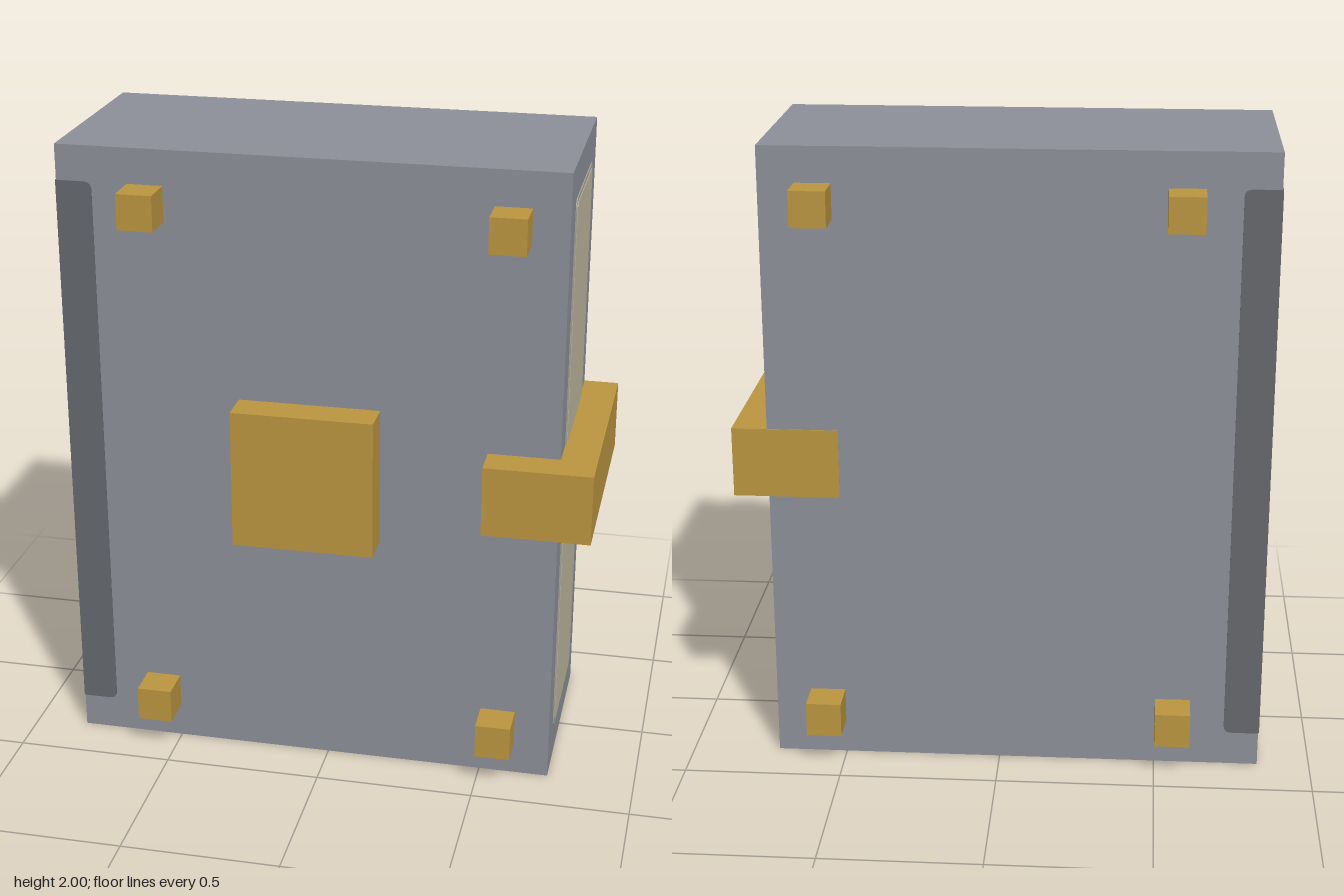
import * as THREE from 'three';

const U = 1 / 9; // design grid step
const T = 0.003; // thickness of painted plates

const mat = (name, color) => {
  const m = new THREE.MeshStandardMaterial({ color });
  m.name = name;
  return m;
};

// Box given by its min and max corners, in grid steps
function block(name, material, [x0, y0, z0], [x1, y1, z1]) {
  const mesh = new THREE.Mesh(
    new THREE.BoxGeometry((x1 - x0) * U, (y1 - y0) * U, (z1 - z0) * U), material);
  mesh.position.set((x0 + x1) / 2 * U, (y0 + y1) / 2 * U, (z0 + z1) / 2 * U);
  mesh.name = name;
  return mesh;
}

// Thin plate centred on the origin, corner radii for its left and right edges
function plate(name, material, w, h, rLeft, rRight) {
  const s = new THREE.Shape();
  const x = w / 2, y = h / 2;
  s.moveTo(-x + rLeft, -y);
  s.lineTo(x - rRight, -y);
  s.quadraticCurveTo(x, -y, x, -y + rRight);
  s.lineTo(x, y - rRight);
  s.quadraticCurveTo(x, y, x - rRight, y);
  s.lineTo(-x + rLeft, y);
  s.quadraticCurveTo(-x, y, -x, y - rLeft);
  s.lineTo(-x, -y + rLeft);
  s.quadraticCurveTo(-x, -y, -x + rLeft, -y);
  const geo = new THREE.ExtrudeGeometry(s, { depth: T, bevelEnabled: false, curveSegments: 5 });
  const mesh = new THREE.Mesh(geo, material);
  mesh.name = name;
  return mesh;
}

export function createModel() {
  const cover = mat('cover grey', 0x8d9199);
  const dark = mat('spine grey', 0x66696e);
  const gold = mat('brass', 0xbd9741);
  const paper = mat('paper', 0xbfb8a0);
  const paperEdge = mat('paper edge', 0xa9a89f);

  const book = new THREE.Group();
  book.name = 'book';

  // Closed book
  book.add(block('cover', cover, [-7.5, 0, -3], [6.5, 18, 3]));

  // Page block painted on the fore edge, with a softer rim
  const rim = plate('pageRim', paperEdge, 4 * U, 16 * U, 0.03, 0.03);
  const pages = plate('pages', paper, 4 * U - 0.03, 16 * U - 0.03, 0.025, 0.025);
  [rim, pages].forEach((p, i) => {
    p.rotation.y = Math.PI / 2;
    p.position.set(6.5 * U + i * 0.002, 9 * U, 0);
    book.add(p);
  });

  // Spine band wrapping onto both covers
  const spine = plate('spine', dark, 6 * U, 16 * U, 0, 0);
  spine.rotation.y = -Math.PI / 2;
  spine.position.set(-7.5 * U, 9 * U, 0);
  book.add(spine);
  const front = plate('spineFront', dark, U, 16 * U, 0, 0.025);
  front.position.set(-7 * U, 9 * U, 3 * U);
  const back = plate('spineBack', dark, U, 16 * U, 0.025, 0);
  back.rotation.y = Math.PI;
  back.position.set(-7 * U, 9 * U, -3 * U);
  book.add(front, back);

  // Corner studs on both covers
  for (const x of [-5.5, 4.5])
    for (const y of [1, 16])
      for (const z of [-4, 3])
        book.add(block('cornerStud', gold, [x, y, z], [x + 1, y + 1, z + 1]));

  // Front emblem plate
  book.add(block('emblem', gold, [-2.5, 7, 3], [1.5, 11, 4]));

  // Clasp: front tab, strap over the pages, flat tab on the back
  const clasp = new THREE.Group();
  clasp.name = 'clasp';
  clasp.add(block('claspFront', gold, [4.5, 8, 3], [6.5, 10, 4]));
  clasp.add(block('claspStrap', gold, [6.5, 8, -3], [7.5, 10, 4]));
  const tab = plate('claspBack', gold, 3 * U, 2 * U, 0, 0);
  tab.rotation.y = Math.PI;
  tab.position.set(6 * U, 9 * U, -3 * U);
  clasp.add(tab);
  book.add(clasp);

  return book;
}
